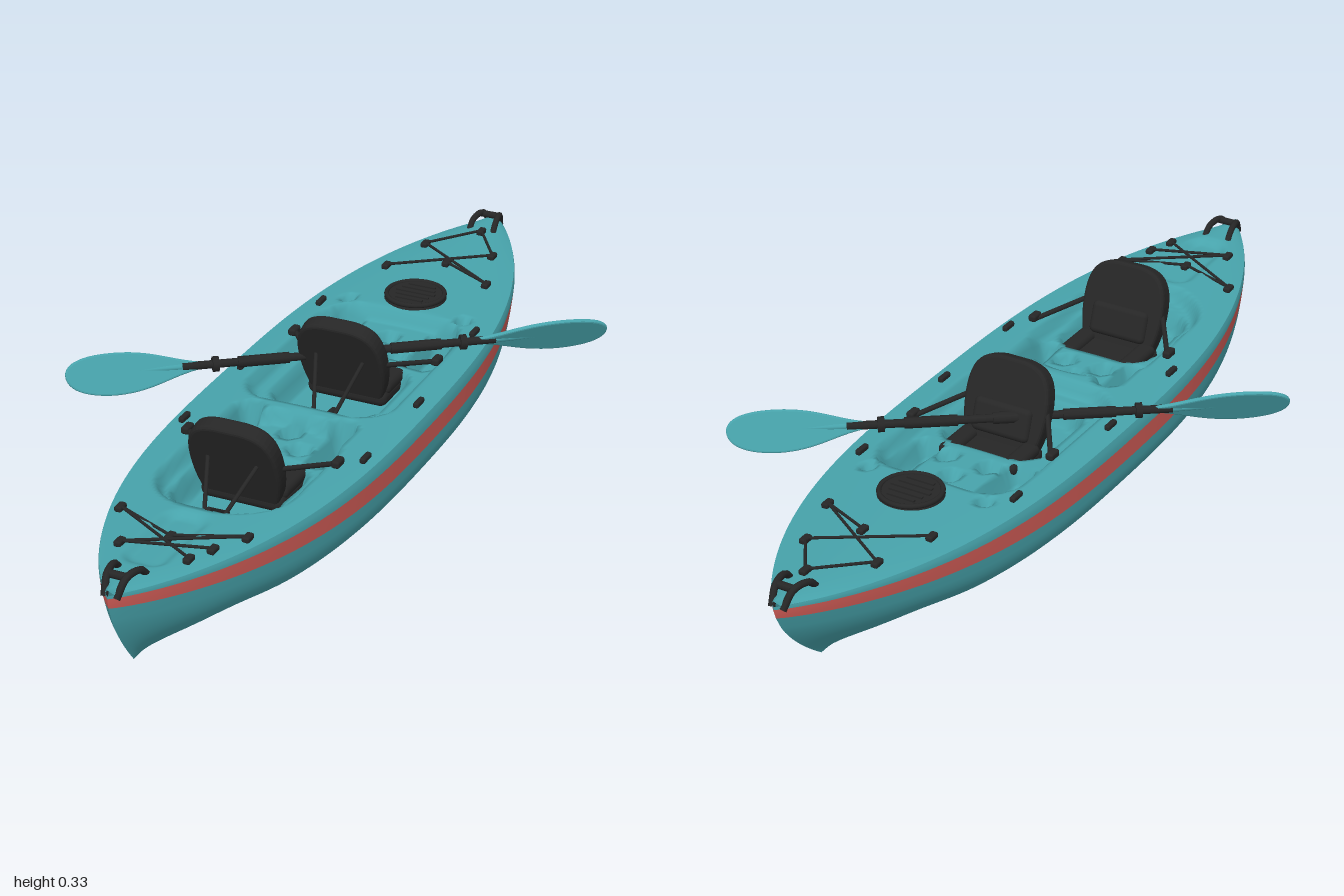
import * as THREE from 'three';
import { RoundedBoxGeometry } from 'three/addons/geometries/RoundedBoxGeometry.js';

const HALF = 1.03;
const mat = (name, color, side = THREE.FrontSide) => {
  const m = new THREE.MeshStandardMaterial({ color, side });
  m.name = name;
  return m;
};
const V = (x, y, z) => new THREE.Vector3(x, y, z);

// Hull rules: s runs -1 (stern) to 1 (bow)
const halfWidth = s => 0.26 * Math.pow(Math.max(0, 1 - Math.pow(Math.abs(s), 2.85)), 0.9);
const rimY = s => 0.187 + 0.018 * s * s;
const stripeTop = s => 0.157 + 0.041 * s * s;
const stripeBottom = s => 0.112 + 0.062 * s * s;
const lengthAt = (s, y) => HALF - (s > 0 ? 0.16 : 0.1) * Math.pow(Math.max(0, 1 - y / 0.2), 1.6);

// Recesses in the deck: centre u, v, half sizes a, b, corner radius, depth, wall width
const wells = [];
const well = (u, v, a, b, r, d, soft = 0.02) => wells.push({ u, v, a, b, r, d, soft });
well(-0.39, 0, 0.25, 0.162, 0.15, 0.035);
well(0.16, 0, 0.275, 0.185, 0.1, 0.035);
for (const [u, a, b] of [[-0.44, 0.15, 0.135], [0.08, 0.15, 0.145]]) well(u, 0, a, b, 0.08, 0.09, 0.03);
for (const side of [-1, 1]) {
  well(-0.22, side * 0.115, 0.09, 0.035, 0.03, 0.085);
  well(0.32, side * 0.12, 0.1, 0.042, 0.03, 0.085);
  well(-0.245, side * 0.05, 0.033, 0.033, 0.033, 0.065, 0.012);
  well(0.275, side * 0.055, 0.033, 0.033, 0.033, 0.065, 0.012);
  well(0.45, side * 0.15, 0.022, 0.02, 0.018, 0.03, 0.012);
}
well(-0.185, 0, 0.033, 0.033, 0.033, 0.07, 0.012);
well(0.35, 0, 0.036, 0.03, 0.03, 0.06, 0.012);
well(-0.78, 0, 0.13, 0.06, 0.05, 0.014, 0.03);

function deckY(u, v) {
  const s = THREE.MathUtils.clamp(u / HALF, -1, 1);
  const w = Math.max(halfWidth(s), 0.001);
  let depth = 0;
  for (const o of wells) {
    const dx = Math.abs(u - o.u) - o.a + o.r, dz = Math.abs(v - o.v) - o.b + o.r;
    const dist = Math.hypot(Math.max(dx, 0), Math.max(dz, 0)) + Math.min(Math.max(dx, dz), 0) - o.r;
    depth = Math.max(depth, o.d * THREE.MathUtils.smoothstep(-dist, 0, o.soft));
  }
  return rimY(s) + 0.014 * (1 - Math.min(1, (v / w) ** 2)) - depth;
}

// Surface over a grid; faces point along dP/da x dP/db
function surface(f, na, nb) {
  const pos = [], idx = [];
  for (let i = 0; i <= na; i++) {
    for (let j = 0; j <= nb; j++) pos.push(...f(i / na, j / nb));
  }
  for (let i = 0; i < na; i++) {
    for (let j = 0; j < nb; j++) {
      const p = i * (nb + 1) + j, q = p + nb + 1;
      idx.push(p, q, q + 1, p, q + 1, p + 1);
    }
  }
  const g = new THREE.BufferGeometry();
  g.setAttribute('position', new THREE.Float32BufferAttribute(pos, 3));
  g.setIndex(idx);
  g.computeVertexNormals();
  return g;
}
const station = a => Math.sin((a * 2 - 1) * 1.2) / Math.sin(1.2);

export function createModel() {
  const teal = mat('teal plastic', 0x47a3ab, THREE.DoubleSide);
  const red = mat('red stripe', 0xd05c56, THREE.DoubleSide);
  const black = mat('black fittings', 0x262626);
  const root = new THREE.Group();
  root.name = 'kayak';
  const boat = new THREE.Group();
  boat.name = 'boat';
  boat.position.set(-0.005, 0, 0.05);
  boat.rotation.y = 0.26;
  root.add(boat);

  const add = (parent, name, geo, m, x = 0, y = 0, z = 0) => {
    const mesh = new THREE.Mesh(geo, m);
    mesh.name = name;
    mesh.position.set(x, y, z);
    parent.add(mesh);
    return mesh;
  };
  const rod = (parent, name, a, b, r) => {
    const mesh = add(parent, name, new THREE.CylinderGeometry(r, r, a.distanceTo(b), 8), black);
    mesh.position.copy(a).lerp(b, 0.5);
    mesh.quaternion.setFromUnitVectors(V(0, 1, 0), b.clone().sub(a).normalize());
    return mesh;
  };
  const onDeck = (u, v, lift = 0.006) => V(u, deckY(u, v) + lift, v);

  // Lower hull, flat bottomed with rounded chines and raked ends
  add(boat, 'hull', surface((a, b) => {
    const s = station(a), c = b * 2 - 1, t = Math.abs(c) * Math.PI / 2;
    const skeg = 0.012 * Math.exp(-(((Math.abs(s) - 0.74) / 0.1) ** 2));
    const h = 1 - Math.pow(Math.max(0, Math.cos(t)), 0.65);
    const y = stripeBottom(s) * h + skeg * (1 - h);
    const w = halfWidth(s) * Math.pow(Math.sin(t), 0.6 + 1.2 * Math.pow(s, 6));
    return [s * lengthAt(s, y), y, Math.sign(c) * w];
  }, 90, 40), teal);

  // Stripe and gunwale bands on both sides
  const band = (name, low, high, inset, m) => {
    for (const side of [-1, 1]) {
      add(boat, name, surface((a, b) => {
        const s = station(a), k = side > 0 ? b : 1 - b;
        const y = THREE.MathUtils.lerp(low(s), high(s), k);
        return [s * lengthAt(s, y), y, side * halfWidth(s) * (1 - inset * k * k)];
      }, 90, 3), m);
    }
  };
  band('stripe', stripeBottom, stripeTop, 0, red);
  band('gunwale', stripeTop, rimY, 0.025, teal);

  // Deck with moulded cockpits, foot wells and cup holders
  add(boat, 'deck', surface((a, b) => {
    const s = b * 2 - 1, w = halfWidth(s) * 0.975, v = (a * 2 - 1) * w;
    return [s * lengthAt(s, rimY(s)), deckY(s * HALF, v), v];
  }, 56, 200), teal);

  // Round hatch with rim and ribs
  const hy = deckY(0.51, 0);
  add(boat, 'hatch', new THREE.CylinderGeometry(0.072, 0.076, 0.012, 32), black, 0.51, hy + 0.003, 0);
  const ring = add(boat, 'hatchRim', new THREE.TorusGeometry(0.07, 0.006, 8, 32), black, 0.51, hy + 0.008, 0);
  ring.rotation.x = Math.PI / 2;
  for (let i = -2; i <= 2; i++) {
    add(boat, 'hatchRib', new THREE.BoxGeometry(0.008, 0.006, 0.1 - Math.abs(i) * 0.015), black, 0.51 + i * 0.02, hy + 0.01, 0);
  }

  // Seats
  const back = new THREE.Shape();
  back.moveTo(-0.085, 0);
  back.lineTo(0.085, 0);
  back.bezierCurveTo(0.1, 0.04, 0.108, 0.08, 0.105, 0.13);
  back.bezierCurveTo(0.1, 0.19, 0.075, 0.208, 0.03, 0.212);
  back.lineTo(-0.03, 0.212);
  back.bezierCurveTo(-0.075, 0.208, -0.1, 0.19, -0.105, 0.13);
  back.bezierCurveTo(-0.108, 0.08, -0.1, 0.04, -0.085, 0);
  const backGeo = new THREE.ExtrudeGeometry(back, {
    depth: 0.022, bevelEnabled: true, bevelThickness: 0.01, bevelSize: 0.008, bevelOffset: -0.006, bevelSegments: 3, curveSegments: 10,
  });
  backGeo.translate(0, 0, -0.011).rotateY(Math.PI / 2);
  for (const [u, name] of [[-0.42, 'rearSeat'], [0.125, 'frontSeat']]) {
    const seat = new THREE.Group();
    seat.name = name;
    boat.add(seat);
    const rest = add(seat, 'backrest', backGeo, black, u + 0.005, 0.128, 0);
    rest.rotation.z = 0.33;
    const pad = add(seat, 'lumbarPad', new RoundedBoxGeometry(0.03, 0.08, 0.15, 3, 0.014), black, u, 0.2, 0);
    pad.rotation.z = 0.33;
    add(seat, 'cushion', new RoundedBoxGeometry(0.14, 0.04, 0.2, 3, 0.018), black, u + 0.05, 0.13, 0);
    for (const side of [-1, 1]) {
      add(seat, 'cushionBolster', new RoundedBoxGeometry(0.12, 0.03, 0.045, 3, 0.014), black, u + 0.06, 0.15, side * 0.08);
      rod(seat, 'frontStrap', V(u - 0.03, 0.23, side * 0.1), onDeck(u + 0.1, side * 0.185), 0.006);
      rod(seat, 'rearStrap', V(u - 0.05, 0.24, side * 0.06), onDeck(u - 0.15, side * 0.02), 0.005);
      add(seat, 'strapBuckle', new RoundedBoxGeometry(0.035, 0.018, 0.02, 2, 0.006), black, u + 0.09, deckY(u + 0.1, side * 0.185) + 0.012, side * 0.183);
    }
    rod(seat, 'rearTail', onDeck(u - 0.17, 0), onDeck(u - 0.08, 0), 0.007);
  }

  // Deck bungees with anchor pads
  const bungee = points => points.forEach(([u, v], i) => {
    add(boat, 'bungeeAnchor', new RoundedBoxGeometry(0.03, 0.014, 0.018, 2, 0.005), black, u, deckY(u, v) + 0.005, v);
    if (i) rod(boat, 'bungee', onDeck(...points[i - 1], 0.008), onDeck(u, v, 0.008), 0.0035);
  });
  bungee([[-0.84, 0.085], [-0.7, -0.15], [-0.76, 0], [-0.7, 0.15], [-0.84, -0.075], [-0.78, 0.11]]);
  bungee([[0.64, -0.135], [0.79, 0.085], [0.9, 0.01], [0.79, -0.095], [0.64, 0.13], [0.7, 0]]);

  // Side grips and small deck cleats
  for (const side of [-1, 1]) {
    for (const u of [-0.27, 0.02, 0.4]) {
      const v = side * (u > 0.3 ? 0.2 : 0.222);
      add(boat, 'deckCleat', new RoundedBoxGeometry(0.04, 0.014, 0.014, 2, 0.005), black, u, deckY(u, v) + 0.006, v);
    }
  }

  // Carry handles arching over both ends
  for (const end of [-1, 1]) {
    for (const side of [-1, 1]) {
      const path = new THREE.CatmullRomCurve3([
        V(end * 0.92, 0.205, side * 0.032), V(end * 0.945, 0.229, side * 0.03),
        V(end * 0.99, 0.231, side * 0.022), V(end * 1.018, 0.195, side * 0.014),
      ]);
      add(boat, 'carryHandle', new THREE.TubeGeometry(path, 14, 0.008, 8), black);
    }
    const u = end * 0.985;
    rod(boat, 'handleGrip', V(u, 0.23, -0.024), V(u, 0.23, 0.024), 0.009);
  }

  // Paddle laid across the deck
  const paddle = new THREE.Group();
  paddle.name = 'paddle';
  paddle.position.set(0.118, 0.217, -0.01);
  paddle.rotation.y = -0.672;
  root.add(paddle);
  rod(paddle, 'shaft', V(-0.37, 0, 0), V(0.37, 0, 0), 0.01);
  rod(paddle, 'ferrule', V(-0.04, 0, 0), V(0.04, 0, 0), 0.014);
  const blade = new THREE.Shape();
  blade.moveTo(0.33, -0.009);
  blade.bezierCurveTo(0.4, -0.02, 0.44, -0.052, 0.53, -0.052);
  blade.bezierCurveTo(0.59, -0.05, 0.64, -0.035, 0.64, 0.005);
  blade.bezierCurveTo(0.635, 0.035, 0.59, 0.046, 0.53, 0.046);
  blade.bezierCurveTo(0.44, 0.046, 0.4, 0.02, 0.33, 0.009);
  const bladeGeo = new THREE.ExtrudeGeometry(blade, {
    depth: 0.004, bevelEnabled: true, bevelThickness: 0.003, bevelSize: 0.004, bevelOffset: -0.004, bevelSegments: 2, curveSegments: 12,
  });
  bladeGeo.translate(0, 0, -0.002);
  for (const end of [-1, 1]) {
    const half = new THREE.Group();
    half.name = 'paddleEnd';
    half.rotation.set(end * 0.45, end > 0 ? 0 : Math.PI, 0);
    paddle.add(half);
    add(half, 'blade', bladeGeo, teal);
    const spine = add(half, 'bladeSpine', new THREE.CylinderGeometry(0.003, 0.009, 0.2, 8), teal, 0.44, 0, 0);
    spine.rotation.z = -Math.PI / 2;
    rod(half, 'grip', V(0.12, 0, 0), V(0.24, 0, 0), 0.013);
    rod(half, 'dripRing', V(0.285, 0, 0), V(0.3, 0, 0), 0.018);
  }
  return root;
}
